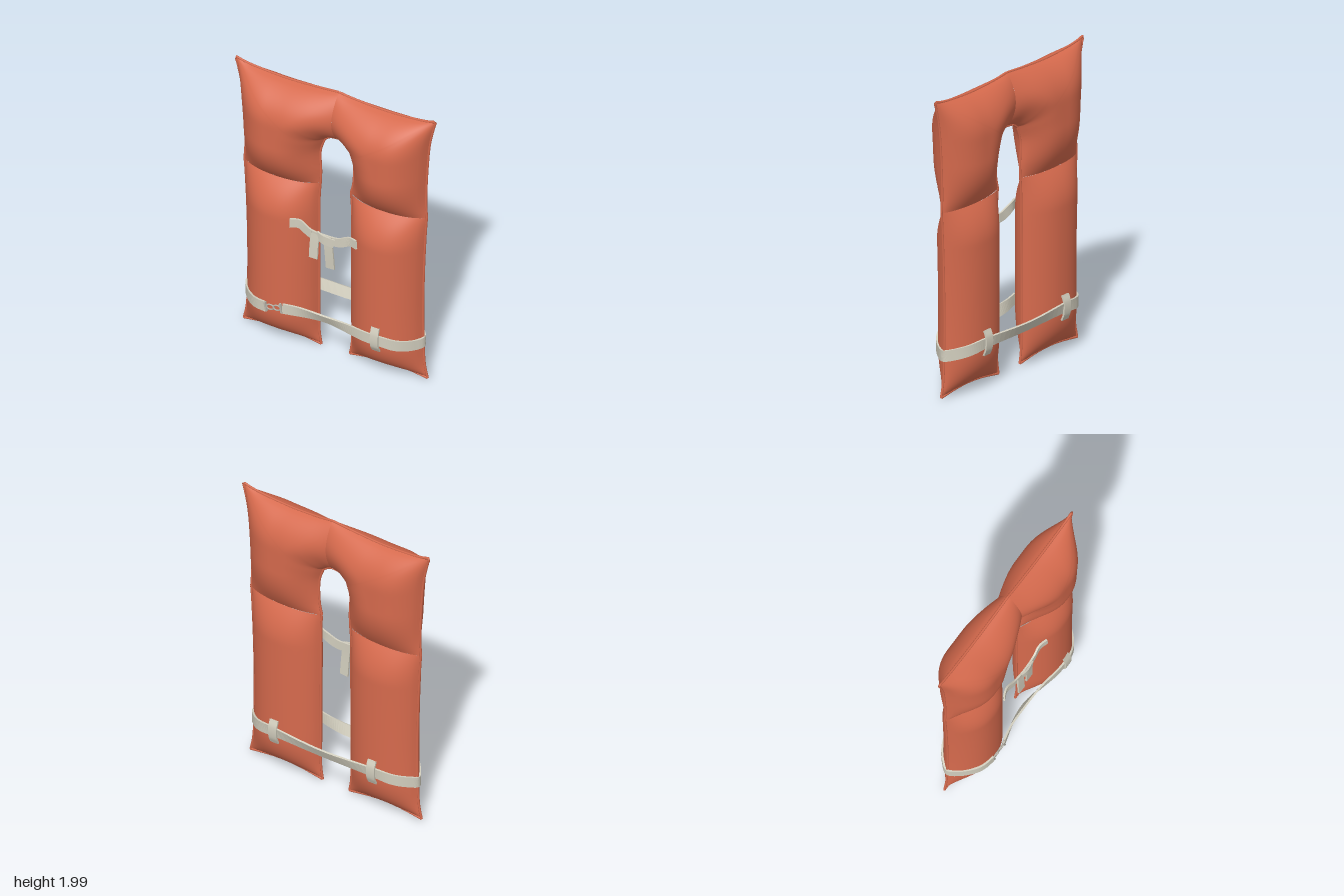
import * as THREE from 'three';

const SEAM_Z = -0.02;
const orange = new THREE.MeshStandardMaterial({ name: 'orange fabric', color: 0xd66a4d });
const webbing = new THREE.MeshStandardMaterial({ name: 'pale webbing', color: 0xd2cebe, side: THREE.DoubleSide });
const metal = new THREE.MeshStandardMaterial({ name: 'buckle metal', color: 0xb9b5aa });

const V = (x, y, z = 0) => new THREE.Vector3(x, y, z);
const spline = pts => new THREE.CatmullRomCurve3(pts.map(p => V(...p)), false, 'centripetal');
// Padding profiles: rounded rise from an edge, the same across a panel, and a softer pinch
const round = d => Math.pow(1 - Math.pow(1 - THREE.MathUtils.clamp(d, 0, 1), 2.2), 0.75);
const lens = t => round(1 - Math.abs(2 * t - 1));
const ease = (d, start) => 1 - (1 - start) * Math.pow(1 - THREE.MathUtils.clamp(d, 0, 1), 2);

function add(group, name, geometry, material) {
  const mesh = new THREE.Mesh(geometry, material);
  mesh.name = name;
  group.add(mesh);
  return mesh;
}

// Grid geometry from point(i / nu, j / nv)
function grid(nu, nv, point, flip) {
  const pos = [], index = [];
  for (let j = 0; j <= nv; j++)
    for (let i = 0; i <= nu; i++) pos.push(...point(i / nu, j / nv).toArray());
  for (let j = 0; j < nv; j++)
    for (let i = 0; i < nu; i++) {
      const a = j * (nu + 1) + i, b = a + 1, c = a + nu + 1, d = c + 1;
      if (flip) index.push(a, d, b, a, c, d);
      else index.push(a, b, d, a, d, c);
    }
  const g = new THREE.BufferGeometry();
  g.setAttribute('position', new THREE.Float32BufferAttribute(pos, 3));
  g.setIndex(index);
  g.computeVertexNormals();
  return g;
}

// Padded panel: front and back skins bulging between an inner and an outer edge
function pillow(group, name, sx, flat, bulge, front, back) {
  for (const [side, depth] of [['Front', front], ['Back', -back]])
    add(group, name + side, grid(32, 64, (t, s) => {
      const p = flat(t, s);
      return V(sx * p.x, p.y, SEAM_Z + depth * bulge(t, s, p));
    }, (sx < 0) !== (depth < 0)), orange);
}

// Piping along one edge of a panel
function piping(group, sx, edge) {
  const pts = [];
  for (let i = 0; i <= 40; i++) {
    const p = edge(i / 40);
    pts.push(V(sx * p.x, p.y, SEAM_Z));
  }
  add(group, 'seamPiping', new THREE.TubeGeometry(new THREE.CatmullRomCurve3(pts), 80, 0.008, 6), orange);
}

// Distance from a point to the nearest stretch of a sampled edge
function distanceTo(samples) {
  const line = new THREE.Line3(), near = V(0, 0);
  return p => {
    let best = Infinity;
    for (let i = 1; i < samples.length; i++) {
      line.set(samples[i - 1], samples[i]).closestPointToPoint(p, true, near);
      best = Math.min(best, near.distanceTo(p));
    }
    return best;
  };
}

// Flat webbing swept along points; width lies along dirAt(v)
const upright = () => V(0, 1, 0), sideways = () => V(1, 0, 0);
function strap(group, name, pts, width, dirAt = upright, thick = 0.012) {
  const curve = spline(pts), n = pts.length * 8;
  const corners = [[-1, -1], [1, -1], [1, 1], [-1, 1], [-1, -1]];
  const geo = grid(4, n, (u, v) => {
    const tan = curve.getTangent(v);
    const out = tan.clone().cross(dirAt(v)).normalize();
    const across = out.clone().cross(tan).normalize();
    const [a, b] = corners[Math.round(u * 4)];
    return curve.getPoint(v).addScaledVector(across, a * width / 2).addScaledVector(out, b * thick / 2);
  }, false).toNonIndexed();
  geo.computeVertexNormals();
  add(group, name, geo, webbing);
}

// Surface depth of the lower panels, for laying webbing on them
function surface(x, back) {
  const t = THREE.MathUtils.clamp((Math.abs(x) - 0.115) / 0.49, 0, 1);
  return back ? SEAM_Z - 0.13 * lens(t) - 0.01 : SEAM_Z + 0.178 * lens(t) + 0.01;
}

function buildSide(sx) {
  const side = new THREE.Group();
  side.name = sx > 0 ? 'leftHalf' : 'rightHalf';

  // Lower chest panel
  const inL = spline([[0.1, 0.015], [0.113, 0.1], [0.116, 0.4], [0.114, 0.9], [0.113, 1.15], [0.106, 1.24]]);
  const outL = spline([[0.637, 0.022], [0.617, 0.12], [0.606, 0.4], [0.61, 0.8], [0.625, 1.15], [0.632, 1.24]]);
  const lower = (t, s) => {
    const p = inL.getPointAt(s).lerp(outL.getPointAt(s), t);
    p.y += 0.03 * Math.sin(Math.PI * t) * Math.pow(1 - s, 8);
    return p;
  };
  pillow(side, 'lowerPanel', sx, lower,
    (t, s) => lens(t) * round(s * 1.22 / 0.3) * ease((1 - s) * 1.22 / 0.24, 0.4), 0.178, 0.13);

  // Upper collar panel, turning from the fold line to the middle seam
  const o = sx * 0.01, mid = sx * 0.025;
  const halves = (A, B) => s => s < 0.5 ? A.getPointAt(2 * s) : B.getPointAt(2 * s - 1);
  const inU = halves(
    spline([[0.106, 1.24], [0.113 + o, 1.32], [0.115 + o, 1.49], [0.085 + o, 1.585]]),
    spline([[0.085 + o, 1.585], [0.045 + o, 1.613], [mid, 1.622]]));
  const outer = spline([[0.632, 1.24], [0.626, 1.35], [0.638, 1.65], [0.655, 1.82], [0.692, 1.987]]);
  const top = spline([[0.692, 1.987], [0.6, 1.968], [0.35, 1.952], [0.12, 1.962], [mid, 1.974]]);
  const outU = halves(outer, top);
  const upper = (t, s) => inU(s).lerp(outU(s), t);
  const fromOuter = distanceTo(outer.getSpacedPoints(30)), fromTop = distanceTo(top.getSpacedPoints(30));
  const fromArch = distanceTo(Array.from({ length: 41 }, (_, i) => inU(i / 40)));
  pillow(side, 'upperPanel', sx, upper, (t, s, p) => {
    const edges = round(fromOuter(p) / 0.25) * round(fromTop(p) / 0.25) * round(fromArch(p) / 0.25);
    const across = THREE.MathUtils.lerp(lens(t), edges, THREE.MathUtils.smoothstep(p.y, 1.24, 1.45));
    return across * ease((p.y - 1.24) / 0.3, 0.35) * ease((p.x - mid) / 0.3, 0.57);
  }, 0.203, 0.148);

  // Stitched rim
  piping(side, sx, s => lower(0, s));
  piping(side, sx, s => lower(1, s));
  piping(side, sx, t => lower(t, 0));
  piping(side, sx, s => upper(0, s));
  piping(side, sx, s => upper(1, s));

  // Belt loop on the back
  const x = sx * 0.365;
  strap(side, 'backBeltLoop', [[x, 0.26, -0.152], [x, 0.305, -0.17],
    [x, 0.38, -0.172], [x, 0.425, -0.156]], 0.06, sideways);
  return side;
}

export function createModel() {
  const vest = new THREE.Group();
  vest.name = 'lifeVest';
  vest.add(buildSide(1), buildSide(-1));

  // Waist belt: from the buckle across the front, round the back, and to the buckle again,
  // leaning outwards where it hangs free between the panels
  const on = (x, y, back) => [x, y, surface(x, back)];
  const lean = v => V(0, 1, 0.45 * Math.exp(-(((v - 0.1) / 0.05) ** 2)) - 0.45 * Math.exp(-(((v - 0.6) / 0.05) ** 2)));
  strap(vest, 'waistBelt', [
    [-0.27, 0.342, 0.164], [-0.15, 0.336, 0.135], [0, 0.332, 0.122], [0.15, 0.331, 0.135], on(0.3, 0.335), on(0.42, 0.335),
    on(0.5, 0.312), on(0.58, 0.293), [0.614, 0.293, SEAM_Z],
    on(0.58, 0.303, true), on(0.5, 0.322, true), on(0.36, 0.342, true), [0, 0.338, -0.172],
    on(-0.36, 0.342, true), on(-0.5, 0.322, true), on(-0.58, 0.303, true),
    [-0.614, 0.29, SEAM_Z], on(-0.58, 0.29), on(-0.5, 0.305), on(-0.45, 0.312), on(-0.39, 0.318)], 0.072, lean);

  // Belt loop on the front
  strap(vest, 'frontBeltLoop', [[0.375, 0.25, 0.15], [0.375, 0.295, 0.174], [0.375, 0.375, 0.176], [0.375, 0.43, 0.16]],
    0.055, sideways);

  // Hook and ring buckle
  const buckle = new THREE.Group();
  buckle.name = 'buckle';
  buckle.position.set(-0.33, 0.33, 0.167);
  buckle.rotation.z = 0.2;
  for (const x of [-0.024, 0.024]) {
    const ring = add(buckle, 'buckleRing', new THREE.TorusGeometry(0.018, 0.005, 6, 16), metal);
    ring.position.x = x;
    ring.scale.x = 1.4;
  }
  for (const x of [-0.055, 0.053])
    add(buckle, 'buckleBar', new THREE.BoxGeometry(0.012, 0.066, 0.016), metal).position.x = x;
  vest.add(buckle);

  // Chest tie with its knot and two hanging tails
  strap(vest, 'chestTie', [[-0.235, 0.99, surface(-0.235)], [-0.18, 0.988, 0.115], [-0.1, 0.95, 0.12], [0, 0.945, 0.125],
    [0.1, 0.948, 0.12], [0.17, 0.978, 0.115], [0.225, 0.983, surface(0.225)]], 0.062);
  strap(vest, 'tieKnot', [[-0.05, 0.962, 0.13], [0, 0.95, 0.14], [0.07, 0.935, 0.13]], 0.06);
  strap(vest, 'tieTail', [[-0.055, 0.97, 0.132], [-0.062, 0.9, 0.138], [-0.065, 0.79, 0.145]], 0.058, sideways);
  strap(vest, 'tieTail', [[0.025, 0.97, 0.132], [0.035, 0.87, 0.13], [0.042, 0.735, 0.124]], 0.058, sideways);
  return vest;
}
